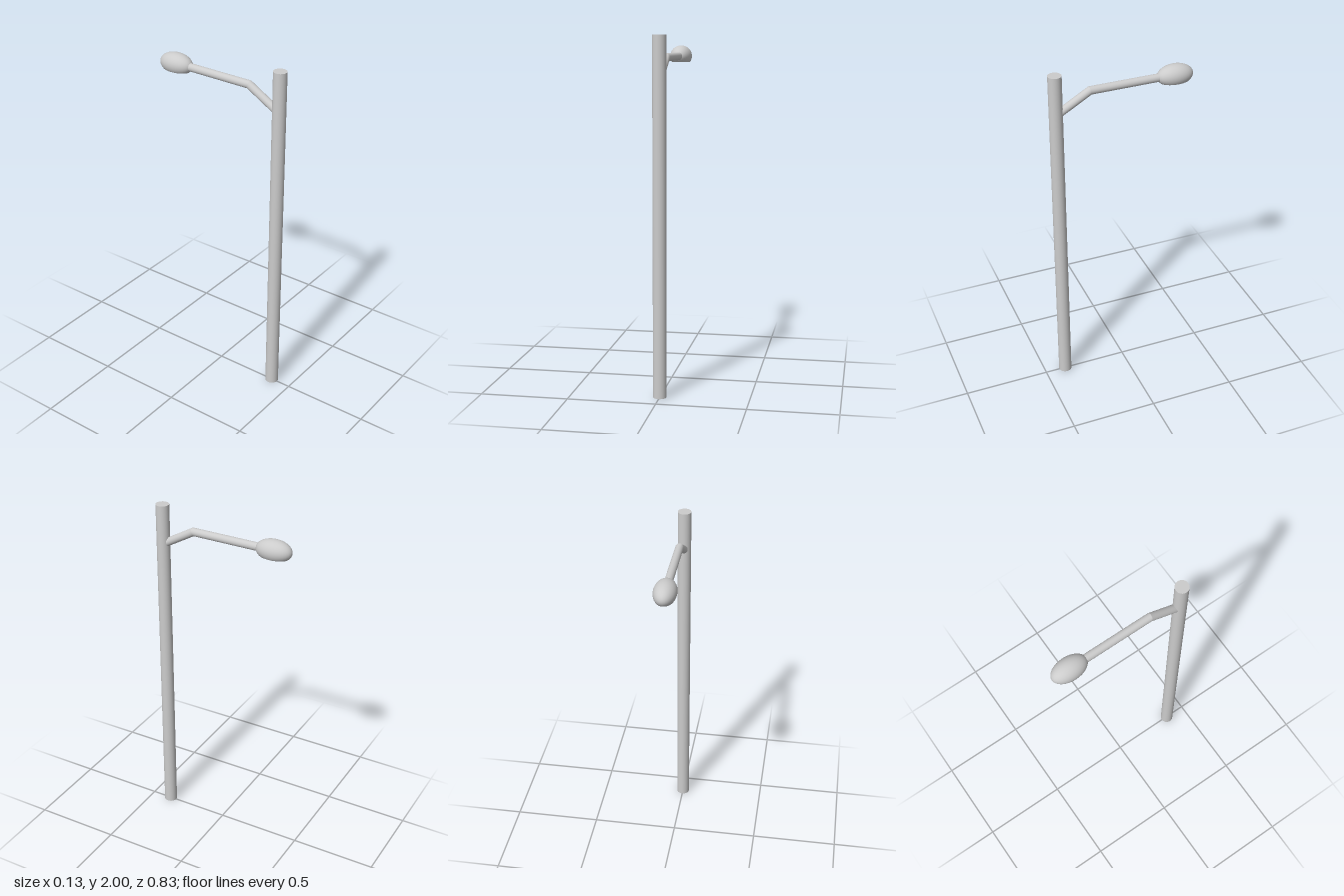
import * as THREE from 'three';

const material = new THREE.MeshStandardMaterial({ color: 0xcccccc });

function addPart(parent, name, geometry) {
  const mesh = new THREE.Mesh(geometry, material);
  mesh.name = name;
  parent.add(mesh);
  return mesh;
}

// Round bar from a to b; the b end is cut along a mitre plane when a normal is given
function barGeometry(a, b, radius, mitre) {
  const dir = b.clone().sub(a);
  const length = dir.length();
  dir.normalize();
  const geometry = new THREE.CylinderGeometry(radius, radius, length, 32, 1, !!mitre);
  const turn = new THREE.Quaternion().setFromUnitVectors(new THREE.Vector3(0, 1, 0), dir);
  geometry.translate(0, length / 2, 0).applyQuaternion(turn).translate(a.x, a.y, a.z);
  if (mitre) {
    const pos = geometry.attributes.position;
    const v = new THREE.Vector3();
    for (let i = 0; i < pos.count; i++) {
      v.fromBufferAttribute(pos, i).sub(b);
      if (v.dot(dir) < -length / 2) continue;
      v.addScaledVector(dir, -v.dot(mitre) / dir.dot(mitre)).add(b);
      pos.setXYZ(i, v.x, v.y, v.z);
    }
  }
  return geometry;
}

export function createModel() {
  const model = new THREE.Group();
  model.name = 'streetLamp';

  // Upright pole
  const pole = addPart(model, 'pole', new THREE.CylinderGeometry(0.038, 0.038, 2, 32));
  pole.position.set(0, 1, 0.377);

  // Bent arm: a sloping brace and a level bar meeting in a mitre
  const armRadius = 0.023;
  const root = new THREE.Vector3(0, 1.774, 0.36);
  const bend = new THREE.Vector3(0, 1.877, 0.182);
  const tip = new THREE.Vector3(0, 1.877, -0.25);
  const mitre = bend.clone().sub(root).normalize()
    .add(tip.clone().sub(bend).normalize()).normalize();
  const arm = new THREE.Group();
  arm.name = 'arm';
  addPart(arm, 'armBrace', barGeometry(root, bend, armRadius, mitre));
  addPart(arm, 'armBar', barGeometry(tip, bend, armRadius, mitre));
  model.add(arm);

  // Lamp head: an egg-shaped shell sliced flat underneath
  const rx = 0.063, ry = 0.062, rz = 0.105, cut = 0.035;
  const sweep = Math.acos(-cut / ry);
  const rim = Math.sin(sweep);
  const head = new THREE.Group();
  head.name = 'lampHead';
  head.position.set(0, 1.877, -0.31);
  addPart(head, 'headShell',
    new THREE.SphereGeometry(1, 32, 18, 0, Math.PI * 2, 0, sweep).scale(rx, ry, rz));
  addPart(head, 'headLens',
    new THREE.CircleGeometry(rim, 32).rotateX(Math.PI / 2).scale(rx, 1, rz).translate(0, -cut, 0));
  model.add(head);

  return model;
}
